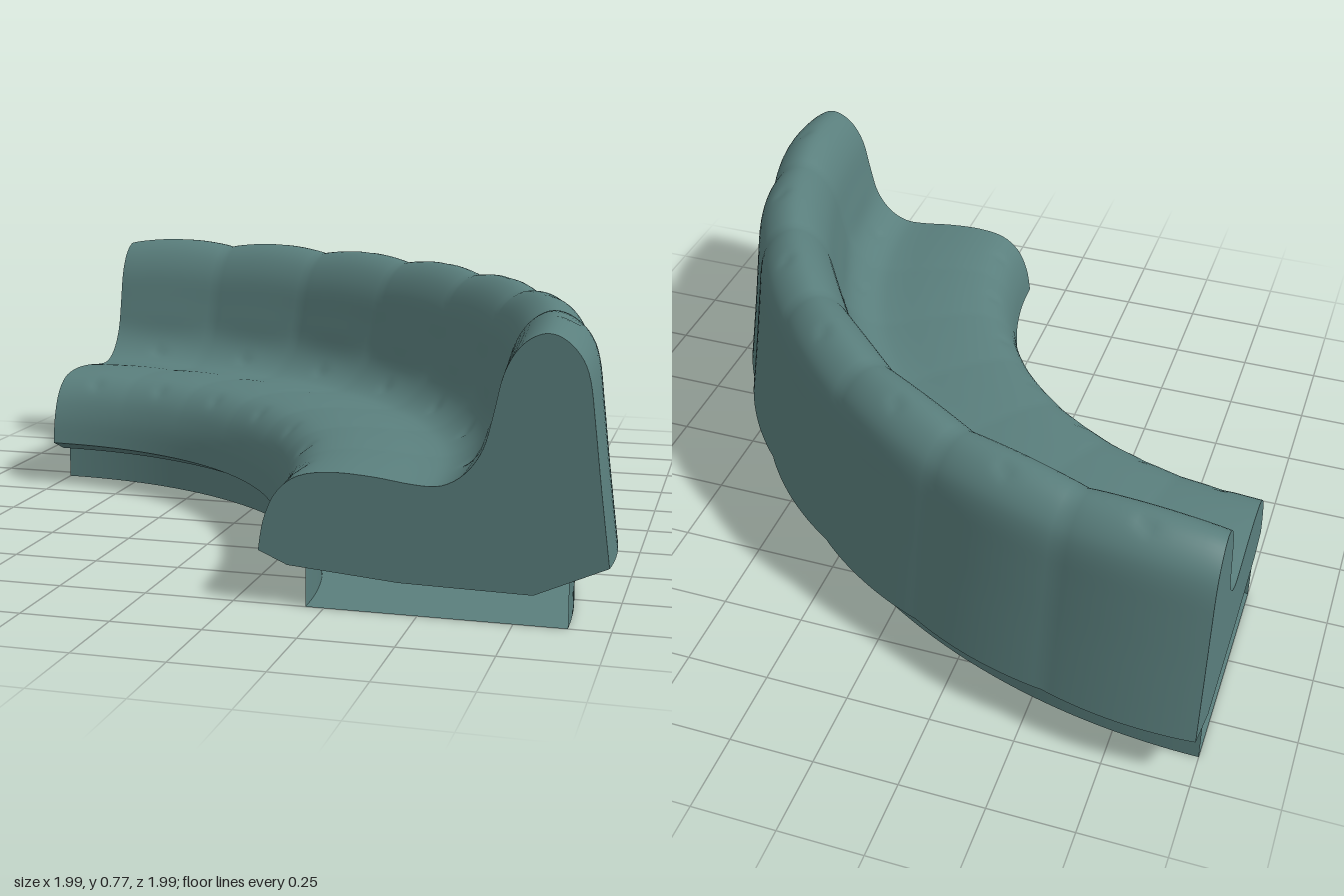
import * as THREE from 'three';

const PANELS = 7;           // stitched panels along the quarter circle
const STEPS = PANELS * 16;
const { smoothstep } = THREE.MathUtils;

// Upholstered section: x is the distance from the arc centre, y is height
const TOP = [
  [1.07, 0.145], [1.085, 0.23], [1.12, 0.305], [1.18, 0.352], [1.27, 0.367], [1.38, 0.362],
  [1.49, 0.348], [1.56, 0.35], [1.62, 0.385], [1.665, 0.45], [1.69, 0.54], [1.715, 0.645],
  [1.755, 0.715], [1.81, 0.75], [1.86, 0.742], [1.905, 0.70], [1.93, 0.64], [1.945, 0.53],
  [1.965, 0.36], [1.99, 0.165],
];
const UNDER = [[1.99, 0.165], [1.8, 0.08], [1.45, 0.085], [1.15, 0.11], [1.07, 0.145]];
const PLINTH = [[1.89, 0.12], [1.89, 0], [1.2, 0], [1.2, 0.11]];

const toVectors = (pts) => pts.map(([r, y]) => new THREE.Vector2(r, y));

// Panels swell between seams, with small tufts in the middle of each
function puff(r, y, angle) {
  const s = Math.abs(Math.sin(angle * PANELS * 2)) ** 0.8;
  const back = smoothstep(y, 0.4, 0.72);
  const outer = smoothstep(r, 1.8, 1.94);
  const inner = smoothstep(y, 0.4, 0.5) * (1 - smoothstep(r, 1.66, 1.76));
  const seat = smoothstep(y, 0.2, 0.36);
  const panel = Math.PI / 2 / PANELS;
  const along = ((angle / panel) % 1 - 0.5) * panel * r;
  let dent = 0;
  for (const [tr, ty] of [[1.15, 0.34], [1.61, 0.38], [1.86, 0.74]]) {
    dent += 0.008 * Math.exp(-(along ** 2 + (r - tr) ** 2 + (y - ty) ** 2) / 0.0005);
  }
  return [r + s * (0.01 * outer - 0.01 * inner), y + s * (0.004 * seat + 0.015 * back) - dent];
}

// Sweeps a section around the quarter circle centred on (-1, 1)
function sweep(points, shape = (r, y) => [r, y]) {
  const pos = [], index = [], n = points.length;
  for (let i = 0; i <= STEPS; i++) {
    const angle = (i / STEPS) * Math.PI / 2;
    for (const p of points) {
      const [r, y] = shape(p.x, p.y, angle);
      pos.push(-1 + r * Math.sin(angle), y, 1 - r * Math.cos(angle));
    }
  }
  for (let i = 0; i < STEPS; i++) {
    for (let j = 0; j < n - 1; j++) {
      const a = i * n + j, b = a + n;
      index.push(a, b, a + 1, b, b + 1, a + 1);
    }
  }
  const geo = new THREE.BufferGeometry();
  geo.setAttribute('position', new THREE.Float32BufferAttribute(pos, 3));
  geo.setIndex(index);
  geo.computeVertexNormals();
  return geo;
}

export function createModel() {
  const model = new THREE.Group();
  model.name = 'curvedSofa';
  const fabric = new THREE.MeshStandardMaterial({ color: 0x5a7f7d, side: THREE.DoubleSide });
  fabric.name = 'teal fabric';

  const add = (name, geo, parent = model) => {
    const mesh = new THREE.Mesh(geo, fabric);
    mesh.name = name;
    parent.add(mesh);
    return mesh;
  };
  // Each straight piece is swept alone so its edges stay crisp
  const addFacets = (name, pts, shape) => {
    const group = new THREE.Group();
    group.name = name;
    const v = toVectors(pts);
    for (let i = 0; i < v.length - 1; i++) add(name + 'Face', sweep([v[i], v[i + 1]], shape), group);
    model.add(group);
  };

  // Seat and backrest in one smooth skin
  const section = new THREE.SplineCurve(toVectors(TOP)).getPoints(76);
  add('seatAndBackrest', sweep(section, puff));
  addFacets('underside', UNDER, puff);

  // Flat ends of the upholstery
  const outline = new THREE.Shape([...section, ...toVectors(UNDER.slice(1, -1))]);
  const right = new THREE.ShapeGeometry(outline);
  add('frontEnd', right).position.set(-1, 0, 1);
  const side = add('sideEnd', right);
  side.position.set(-1, 0, 1);
  side.rotation.y = Math.PI / 2;

  // Recessed plinth, open at both ends
  addFacets('plinth', PLINTH);
  return model;
}
